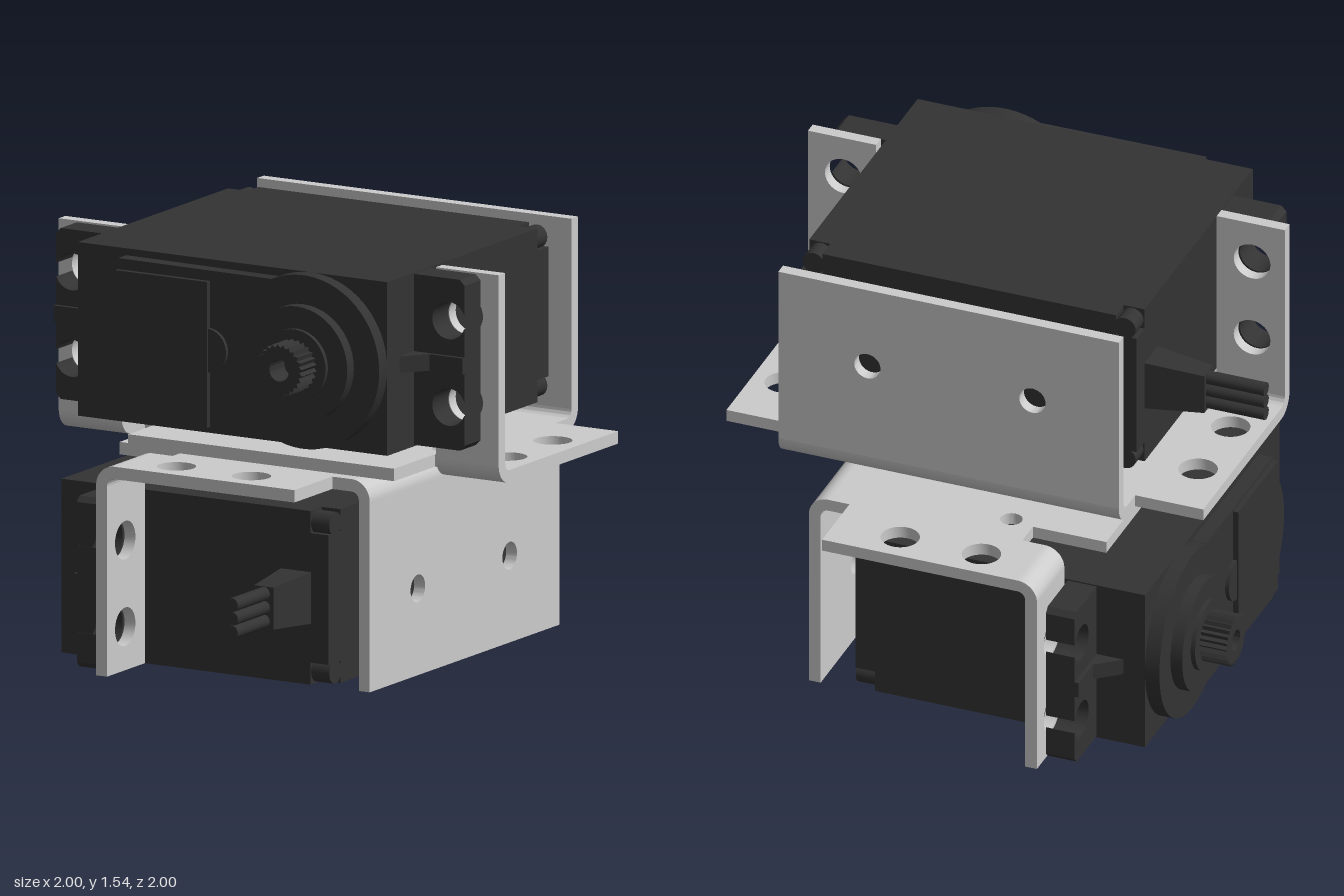
import * as THREE from 'three';
import { toCreasedNormals } from 'three/addons/utils/BufferGeometryUtils.js';

const metal = new THREE.MeshStandardMaterial({ color: 0xcccccc });
const plastic = new THREE.MeshStandardMaterial({ color: 0x333333 });
const T = 0.045;   // sheet thickness
const MID = 1.225; // height of the motor axis

function add(parent, name, geometry, material, x = 0, y = 0, z = 0) {
  const mesh = new THREE.Mesh(geometry, material);
  mesh.name = name;
  mesh.position.set(x, y, z);
  parent.add(mesh);
  return mesh;
}

function outline(points, holes = []) {
  const shape = new THREE.Shape(points.map(([x, y]) => new THREE.Vector2(x, y)));
  for (const [x, y, r] of holes) shape.holes.push(new THREE.Path().absarc(x, y, r, 0, Math.PI * 2, true));
  return shape;
}

const rect = (x0, y0, x1, y1) => [[x0, y0], [x1, y0], [x1, y1], [x0, y1]];

function extrude(shape, depth) {
  return toCreasedNormals(new THREE.ExtrudeGeometry(shape, { depth, bevelEnabled: false, curveSegments: 20 }), 0.6);
}

function disc(r, depth, sides = 48) {
  return new THREE.CylinderGeometry(r, r, depth, sides).rotateX(Math.PI / 2);
}

// Quarter-round sheet bend running along x; dir is the side (+z or -z) it turns up on
function bend(parent, x0, x1, z, dir) {
  const s = new THREE.Shape();
  s.absarc(0, 0, 0.03 + T, -Math.PI / 2, 0, false);
  s.absarc(0, 0, 0.03, 0, -Math.PI / 2, true);
  const g = extrude(s, x1 - x0).translate(0, 0, -(x1 - x0) / 2);
  g.rotateY(dir > 0 ? -Math.PI / 2 : Math.PI / 2);
  add(parent, 'bracketBend', g, metal, (x0 + x1) / 2, 0.85, z);
}

function makeBracket() {
  const g = new THREE.Group();
  g.name = 'bracket';

  // Base with side wings, tongue and relief slots
  const base = outline([
    [-0.56, -0.47], [0.74, -0.47], [0.74, -0.39], [1, -0.39], [1, 0.355], [0.74, 0.355],
    [0.74, 0.27], [0.64, 0.27], [0.64, 0.55], [-0.46, 0.55], [-0.46, 0.27], [-0.56, 0.27],
    [-0.56, 0.355], [-0.82, 0.355], [-0.82, -0.39], [-0.56, -0.39],
  ], [[-0.7, -0.14, 0.07], [-0.7, 0.17, 0.07], [0.88, -0.14, 0.07], [0.88, 0.17, 0.07],
    [0.62, 0.18, 0.04], [-0.44, 0.18, 0.04]]);
  add(g, 'bracketBase', extrude(base, T).rotateX(Math.PI / 2), metal, 0, 0.82, 0);

  // Rear plate
  const rear = outline(rect(-0.56, 0.85, 0.74, 1.54), [[-0.23, MID, 0.05], [0.4, MID, 0.05]]);
  add(g, 'bracketRearPlate', extrude(rear, T), metal, 0, 0, -0.545);
  bend(g, -0.56, 0.74, -0.47, -1);

  // Front ears
  for (const [x0, x1, hx] of [[-0.82, -0.56, -0.695], [0.74, 1, 0.865]]) {
    const ear = outline(rect(x0, 0.85, x1, 1.54), [[hx, MID - 0.157, 0.07], [hx, MID + 0.157, 0.07]]);
    add(g, 'bracketEar', extrude(ear, T), metal, 0, 0, 0.385);
    bend(g, x0, x1, 0.355, 1);
  }
  return g;
}

function makeFlange() {
  // Mounting flange with two keyhole slots open to the outer edge
  const s = new THREE.Shape();
  const a = Math.asin(0.025 / 0.068);
  s.moveTo(0.6, -0.31);
  s.lineTo(0.825, -0.31);
  s.lineTo(0.845, -0.29);
  for (const y of [-0.157, 0.157]) {
    s.lineTo(0.845, y - 0.025);
    s.absarc(0.78, y, 0.068, -a, a, true);
    s.lineTo(0.845, y + 0.025);
  }
  s.lineTo(0.845, 0.29);
  s.lineTo(0.825, 0.31);
  s.lineTo(0.6, 0.31);
  const g = new THREE.Group();
  g.name = 'mountingFlange';
  add(g, 'flangePlate', extrude(s, 0.11), plastic, 0, 0, 0.435);
  // Gusset between flange and case
  const rib = outline([[0.62, 0.5], [0.845, 0.5], [0.845, 0.56], [0.71, 0.56], [0.635, 0.65], [0.62, 0.65]]);
  add(g, 'flangeGusset', extrude(rib, 0.06).rotateX(Math.PI / 2), plastic, 0, 0.03, 0);
  return g;
}

function makeServo() {
  const g = new THREE.Group();
  g.name = 'servo';

  // Case, with a notched rear cover and corner screws
  add(g, 'servoCase', new THREE.BoxGeometry(1.28, 0.63, 1.03), plastic, 0.08, MID, 0.215);
  const w = 0.64, h = 0.315, n = 0.08;
  const cover = outline([
    [-w + n, -h], [w - n, -h], [w - n, -h + n], [w, -h + n], [w, h - n], [w - n, h - n],
    [w - n, h], [-w + n, h], [-w + n, h - n], [-w, h - n], [-w, -h + n], [-w + n, -h + n],
  ]);
  add(g, 'rearCover', extrude(cover, 0.08), plastic, 0.08, MID, -0.375);
  for (const sx of [-1, 1]) for (const sy of [-1, 1])
    add(g, 'caseScrew', disc(0.042, 0.09, 20), plastic, 0.08 + sx * 0.594, MID + sy * 0.269, -0.33);

  // Flanges at both ends
  for (const turn of [0, Math.PI]) {
    const flange = makeFlange();
    flange.position.set(0.083, MID, 0);
    flange.rotation.z = turn;
    g.add(flange);
  }

  // Gear cover: plate with rounded end, side panel and round lobes
  const gear = new THREE.Shape();
  gear.moveTo(-0.36, -0.29);
  gear.lineTo(0.27, -0.29);
  gear.absarc(0.405, 0, 0.315, -2.0, 2.0, false);
  gear.lineTo(-0.36, 0.29);
  gear.absarc(-0.17, 0, 0.295, Math.PI - 0.85, Math.PI + 0.85, false);
  add(g, 'gearCover', extrude(gear, 0.06), plastic, 0, MID, 0.725);
  add(g, 'sidePanel', extrude(outline(rect(-0.36, -0.28, 0.02, 0.25)), 0.02), plastic, 0, MID, 0.785);
  const tab = new THREE.Shape().absarc(0.015, 0, 0.08, -Math.PI / 2, Math.PI / 2, false);
  add(g, 'panelTab', extrude(tab, 0.015), plastic, 0, MID, 0.785);

  // Output boss and toothed shaft
  add(g, 'outputBoss', disc(0.21, 0.06), plastic, 0.405, MID, 0.8);
  add(g, 'outputCollar', disc(0.13, 0.02), plastic, 0.405, MID, 0.837);
  const teeth = [];
  for (let i = 0; i < 50; i++) {
    const r = i % 2 ? 0.095 : 0.083, t = (i / 50) * Math.PI * 2;
    teeth.push([r * Math.cos(t), r * Math.sin(t)]);
  }
  add(g, 'outputShaft', extrude(outline(teeth, [[0, 0, 0.04]]), 0.11), plastic, 0.405, MID, 0.84);

  // Tapered cable sleeve and three wires
  const sleeve = new THREE.BoxGeometry(0.24, 0.19, 0.13);
  const p = sleeve.attributes.position;
  for (let i = 0; i < p.count; i++)
    if (p.getX(i) < 0) p.setXYZ(i, p.getX(i), p.getY(i) * 0.8, p.getZ(i) * 0.62);
  sleeve.computeVertexNormals();
  add(g, 'cableSleeve', sleeve, plastic, -0.66, MID, -0.24);
  for (const dy of [-0.05, 0, 0.05])
    add(g, 'wire', new THREE.CylinderGeometry(0.025, 0.025, 0.3, 16).rotateZ(Math.PI / 2), plastic, -0.85, MID + dy, -0.24);
  return g;
}

function makeUnit(name) {
  const g = new THREE.Group();
  g.name = name;
  g.add(makeBracket(), makeServo());
  return g;
}

export function createModel() {
  const model = new THREE.Group();
  model.name = 'panTiltServoPair';
  const upper = makeUnit('upperUnit');
  // The lower unit is the same, upside down and turned a quarter
  const lower = makeUnit('lowerUnit');
  lower.quaternion.setFromRotationMatrix(new THREE.Matrix4().makeBasis(
    new THREE.Vector3(0, 0, -1), new THREE.Vector3(0, -1, 0), new THREE.Vector3(-1, 0, 0)));
  lower.position.y = 1.54;
  model.add(upper, lower);
  return model;
}
